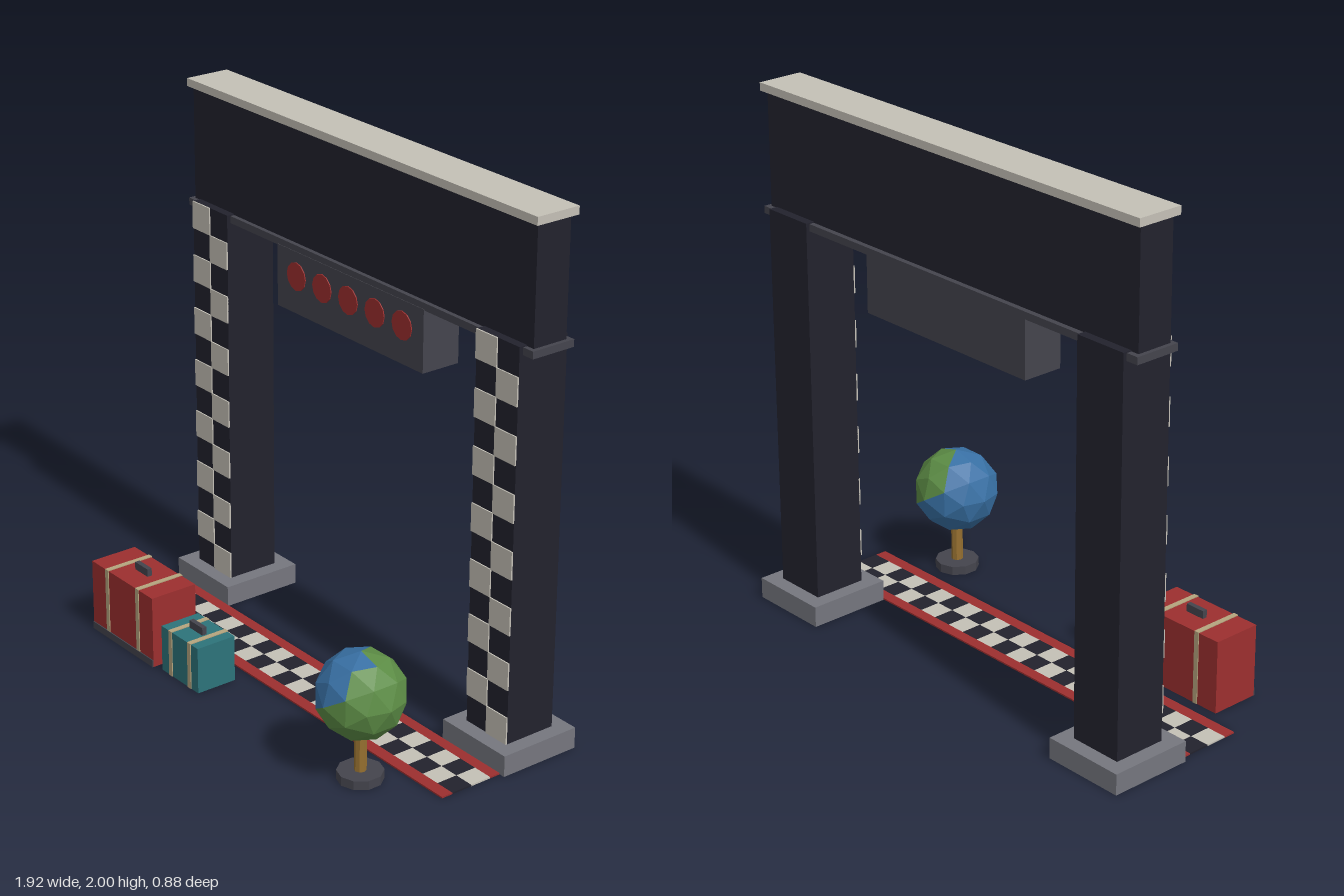
import * as THREE from 'three';

export function createModel() {
  const model = new THREE.Group();
  model.name = 'startGate';

  const mat = (name, color, open = false) => {
    const m = new THREE.MeshStandardMaterial({ color });
    m.name = name;
    m.flatShading = true;
    if (open) m.side = THREE.DoubleSide;
    return m;
  };
  const cream = mat('cream', 0xc4c0b6);
  const red = mat('red', 0x9c2f2f, true);
  const dark = mat('darkNavy', 0x22222d);
  const trim = mat('charcoal', 0x44444d);
  const stone = mat('stoneGrey', 0x75767e, true);
  const teal = mat('teal', 0x2d737a, true);
  const tan = mat('strapTan', 0xb5a47e, true);
  const brass = mat('brass', 0x967030);
  const blue = mat('oceanBlue', 0x3870a4);
  const green = mat('landGreen', 0x5c8c45);

  const add = (name, geometry, material, parent = model) => {
    const mesh = new THREE.Mesh(geometry, material);
    mesh.name = name;
    parent.add(mesh);
    return mesh;
  };
  const group = (name) => {
    const g = new THREE.Group();
    g.name = name;
    model.add(g);
    return g;
  };

  // Box given by its extents; an open box has no bottom face
  const box = (name, material, [x0, x1], [y0, y1], [z0, z1], parent, open = false) => {
    const geo = new THREE.BoxGeometry(x1 - x0, y1 - y0, z1 - z0);
    if (open) {
      const index = Array.from(geo.index.array);
      index.splice(18, 6);
      geo.setIndex(index);
      geo.clearGroups();
    }
    geo.translate((x0 + x1) / 2, (y0 + y1) / 2, (z0 + z1) / 2);
    return add(name, geo, material, parent);
  };

  // Pillars with checkered fronts on hollow plinths
  const rows = 14, bottom = 0.08, top = 1.547, rowH = (top - bottom) / rows;
  for (const side of [-1, 1]) {
    const pillar = group(side < 0 ? 'rightPillar' : 'leftPillar');
    const cx = side * 0.797;
    box('plinth', stone, [cx - 0.162, cx + 0.162], [0, bottom], [-0.44, -0.116], pillar, true);
    box('pillarShaft', dark, [cx - 0.105, cx + 0.105], [bottom, top], [-0.382, -0.175], pillar);
    for (let i = 0; i < rows; i++) {
      const x = i % 2 ? cx - 0.105 : cx;
      const y = bottom + i * rowH;
      box('pillarCheck', cream, [x, x + 0.105], [y, y + rowH], [-0.176, -0.17], pillar);
    }
  }

  // Overhead beam
  const beam = group('beam');
  box('beamPanel', dark, [-0.934, 0.934], [1.54, 1.97], [-0.348, -0.207], beam);
  box('beamCap', cream, [-0.95, 0.95], [1.97, 2], [-0.368, -0.19], beam);
  box('beamLedge', trim, [-0.95, 0.95], [1.516, 1.543], [-0.368, -0.19], beam);

  // Hanging signal box with five lamps
  const signal = group('signal');
  box('signalBox', trim, [-0.406, 0.406], [1.287, 1.52], [-0.345, -0.188], signal);
  for (let i = -2; i <= 2; i++) {
    const lamp = add('lamp', new THREE.CylinderGeometry(0.053, 0.053, 0.006, 12), red, signal);
    lamp.rotation.x = Math.PI / 2;
    lamp.position.set(i * 0.147, 1.428, -0.187);
  }

  // Checkered ground line with red borders
  const line = group('finishLine');
  const cols = 24, x0 = -0.937, w = 1.874 / cols, zs = [-0.072, 0.012, 0.096];
  box('lineBorder', red, [x0, -x0], [0, 0.006], [-0.115, zs[0]], line);
  box('lineBorder', red, [x0, -x0], [0, 0.006], [zs[2], 0.142], line);
  for (let i = 0; i < cols; i++) {
    for (let j = 0; j < 2; j++) {
      const x = x0 + i * w;
      box('lineCheck', (i + j) % 2 ? cream : dark, [x, x + w], [0, 0.006], [zs[j], zs[j + 1]], line);
    }
  }

  // Suitcases with two wrapping straps and a handle
  const suitcase = (name, material, xs, h, [z0, z1], straps) => {
    const g = group(name);
    const cx = (xs[0] + xs[1]) / 2, e = 0.003;
    box('caseBody', material, xs, [0, h], [z0, z1], g, true);
    for (const x of straps) {
      box('strap', tan, [x - 0.01, x + 0.01], [0, h + e], [z0 - e, z1 + e], g, true);
    }
    box('handle', trim, [cx - 0.04, cx + 0.04], [h, h + 0.03], [0.278, 0.297], g);
    return g;
  };
  const large = suitcase('largeSuitcase', red, [-0.8, -0.41], 0.28, [0.193, 0.385], [-0.7, -0.505]);
  box('caseKickStrip', trim, [-0.8, -0.41], [0, 0.028], [0.384, 0.389], large);
  suitcase('smallSuitcase', teal, [-0.375, -0.15], 0.18, [0.207, 0.37], [-0.318, -0.202]);

  // Globe on a stand
  const globe = group('globe');
  globe.position.set(0.665, 0, 0.276);
  add('globeFoot', new THREE.CylinderGeometry(0.083, 0.083, 0.034, 10), trim, globe).position.y = 0.017;
  add('globePole', new THREE.CylinderGeometry(0.022, 0.022, 0.15, 8), brass, globe).position.y = 0.104;
  const ball = new THREE.IcosahedronGeometry(0.162, 1);
  const p = ball.attributes.position;
  // Each facet becomes land or ocean by its direction
  for (let i = 0; i < p.count; i += 3) {
    const c = new THREE.Vector3();
    for (let k = 0; k < 3; k++) c.add(new THREE.Vector3().fromBufferAttribute(p, i + k));
    c.normalize();
    ball.addGroup(i, 3, c.x - 1.2 * c.y * c.z > 0.1 ? 1 : 0);
  }
  add('globeBall', ball, [blue, green], globe).position.y = 0.328;

  return model;
}
